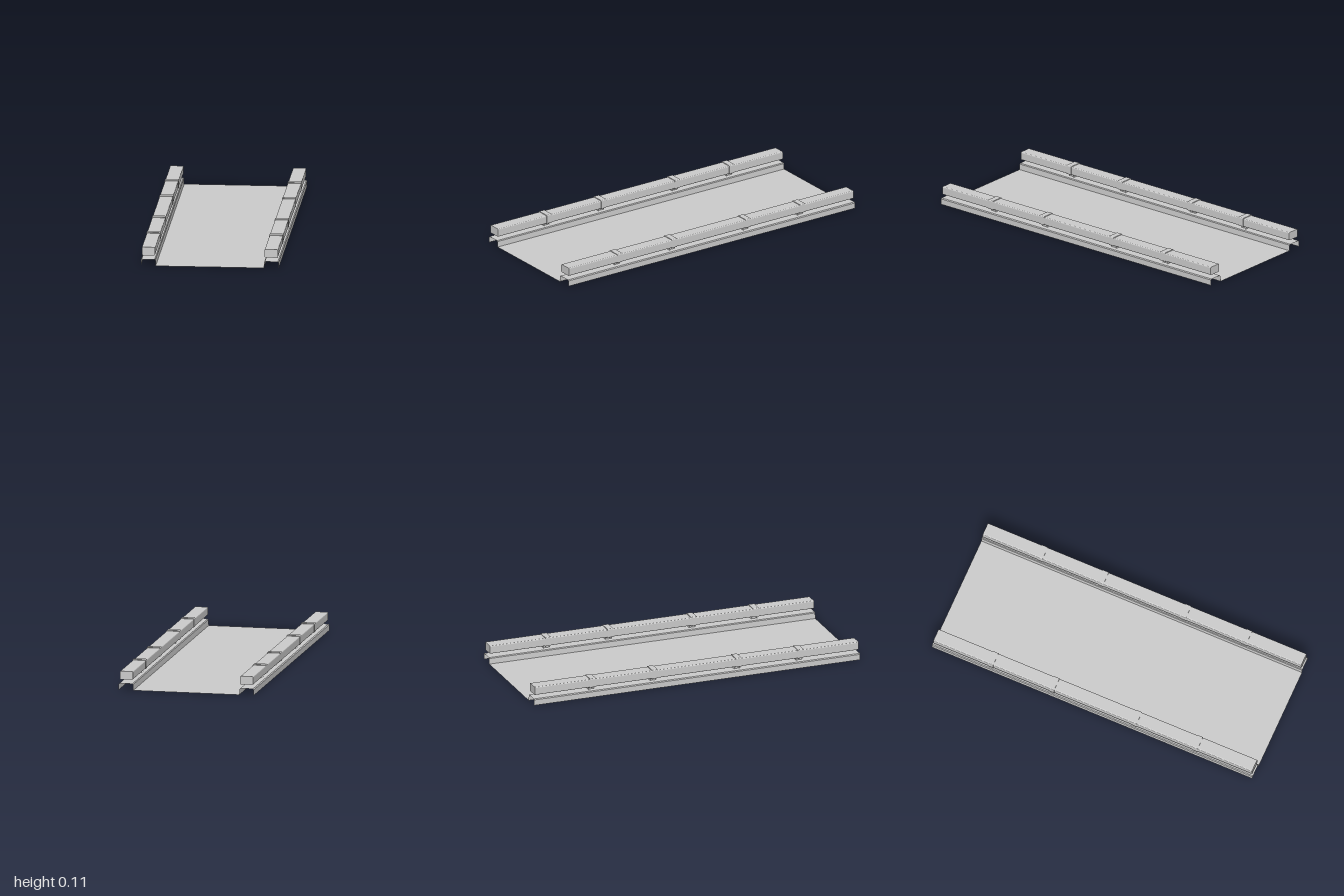
import * as THREE from 'three';

const material = new THREE.MeshStandardMaterial({ color: 0xcccccc, flatShading: true });
const sheetMaterial = new THREE.MeshStandardMaterial({ color: 0xcccccc, flatShading: true, side: THREE.DoubleSide });

const RAIL_X = 0.352;
const POST_Z = [-0.637, -0.257, 0.257, 0.637];

// Solid prism: an x-y outline extruded along z and centred on it
function prism(shape, length, name) {
  const geometry = new THREE.ExtrudeGeometry(shape, { depth: length, bevelEnabled: false, curveSegments: 3 });
  geometry.translate(0, 0, -length / 2);
  const mesh = new THREE.Mesh(geometry, material);
  mesh.name = name;
  return mesh;
}

// Rectangle with rounded corners
function roundedRect(halfWidth, y0, y1, r) {
  const s = new THREE.Shape();
  s.moveTo(-halfWidth + r, y0);
  s.lineTo(halfWidth - r, y0);
  s.quadraticCurveTo(halfWidth, y0, halfWidth, y0 + r);
  s.lineTo(halfWidth, y1 - r);
  s.quadraticCurveTo(halfWidth, y1, halfWidth - r, y1);
  s.lineTo(-halfWidth + r, y1);
  s.quadraticCurveTo(-halfWidth, y1, -halfWidth, y1 - r);
  s.lineTo(-halfWidth, y0 + r);
  s.quadraticCurveTo(-halfWidth, y0, -halfWidth + r, y0);
  return s;
}

// Thin folded sheet: a profile of [x, y] points swept along z
function foldedSheet(profile, length, name) {
  const positions = [];
  const index = [];
  profile.forEach(([x, y], i) => {
    positions.push(x, y, length / 2, x, y, -length / 2);
    if (i > 0) {
      const a = 2 * (i - 1);
      index.push(a, a + 2, a + 1, a + 1, a + 2, a + 3);
    }
  });
  const geometry = new THREE.BufferGeometry();
  geometry.setAttribute('position', new THREE.Float32BufferAttribute(positions, 3));
  geometry.setIndex(index);
  geometry.computeVertexNormals();
  const mesh = new THREE.Mesh(geometry, sheetMaterial);
  mesh.name = name;
  return mesh;
}

// Post: flared foot, narrow stem and a flared head under the rail
function postShape() {
  const half = [[0.038, 0.033], [0.038, 0.035], [0.02, 0.038], [0.013, 0.041], [0.013, 0.055], [0.018, 0.058], [0.018, 0.061]];
  const outline = [...half, ...half.slice().reverse().map(([x, y]) => [-x, y])];
  return new THREE.Shape(outline.map(([x, y]) => new THREE.Vector2(x, y)));
}

// One handrail with its posts and brackets
function createRail(side) {
  const rail = new THREE.Group();
  rail.name = side > 0 ? 'leftRail' : 'rightRail';
  rail.position.x = side * RAIL_X;
  rail.add(prism(roundedRect(0.038, 0.06, 0.108, 0.006), 1.986, 'railBeam'));
  for (const z of POST_Z) {
    const post = prism(postShape(), 0.035, 'post');
    const bracket = prism(roundedRect(0.0395, 0.058, 0.112, 0.006), 0.035, 'railBracket');
    post.position.z = bracket.position.z = z;
    rail.add(post, bracket);
  }
  return rail;
}

export function createModel() {
  const model = new THREE.Group();
  model.name = 'walkway';

  // Floor and both raised kerbs are one folded sheet, open below the kerbs
  const kerb = [[0.31, 0], [0.312, 0.033], [0.316, 0.038], [0.39, 0.038], [0.395, 0.033], [0.395, 0]];
  const profile = [...kerb.slice().reverse().map(([x, y]) => [-x, y]), ...kerb];
  model.add(foldedSheet(profile, 2, 'deck'));

  for (const side of [-1, 1]) model.add(createRail(side));
  return model;
}
